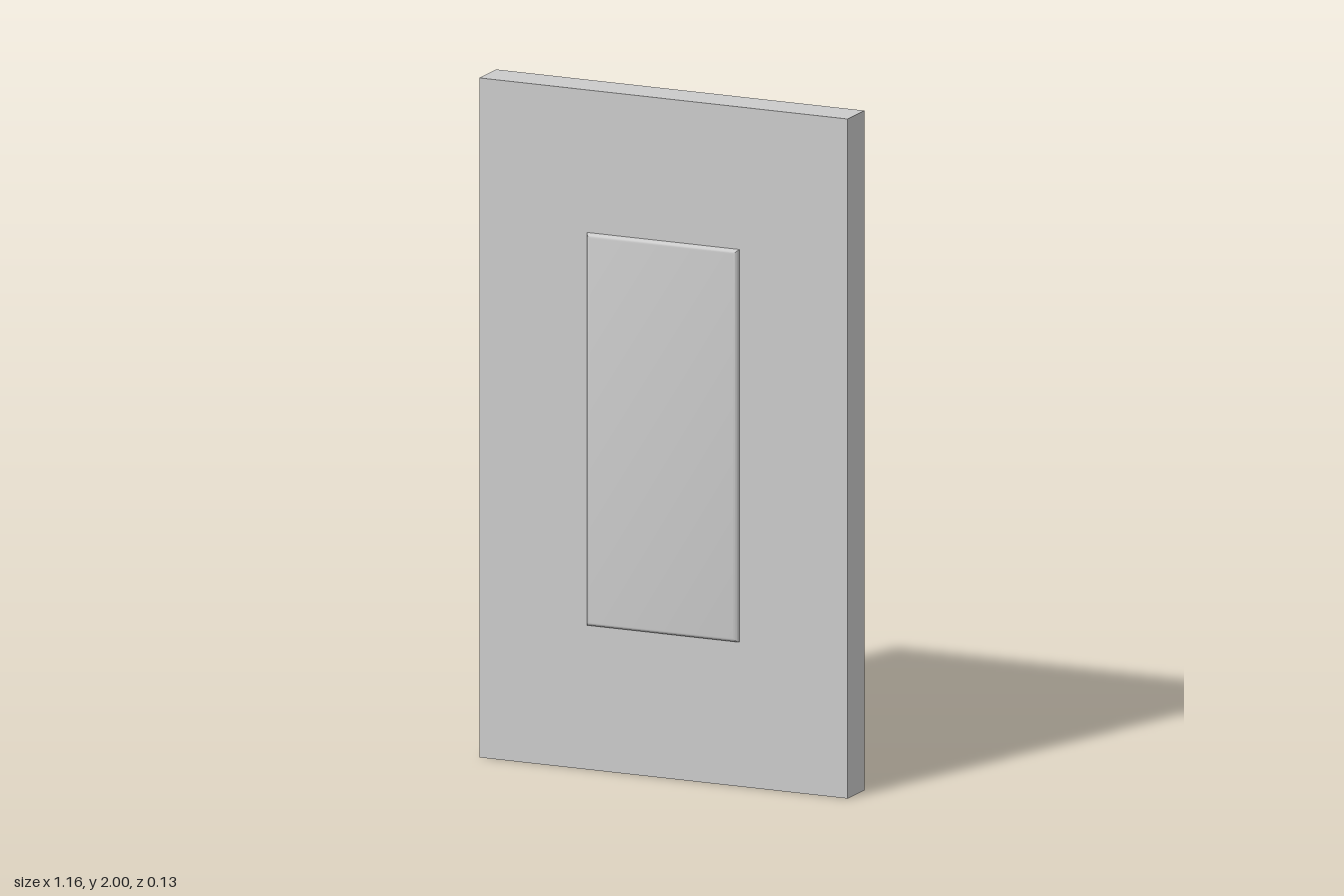
import * as THREE from 'three';
import { toCreasedNormals } from 'three/addons/utils/BufferGeometryUtils.js';

// Lofts rectangles from back to front; each section is [z, inset from the full outline].
function loftRect(width, height, sections, closeBack) {
  const corners = [[-1, -1], [1, -1], [1, 1], [-1, 1]];
  const positions = [];
  const index = [];
  for (const [z, inset] of sections) {
    for (const [sx, sy] of corners) {
      positions.push(sx * (width / 2 - inset), sy * (height / 2 - inset), z);
    }
  }
  for (let s = 0; s < sections.length - 1; s++) {
    for (let i = 0; i < 4; i++) {
      const a = s * 4 + i;
      const b = s * 4 + (i + 1) % 4;
      index.push(a, b, b + 4, a, b + 4, a + 4);
    }
  }
  // Front face, and optionally the back face
  const f = (sections.length - 1) * 4;
  index.push(f, f + 1, f + 2, f, f + 2, f + 3);
  if (closeBack) index.push(0, 2, 1, 0, 3, 2);
  const geometry = new THREE.BufferGeometry();
  geometry.setAttribute('position', new THREE.Float32BufferAttribute(positions, 3));
  geometry.setIndex(index);
  return toCreasedNormals(geometry, THREE.MathUtils.degToRad(35));
}

export function createModel() {
  const group = new THREE.Group();
  group.name = 'wallSwitch';

  // Thin cover plate, a shallow tray open at the back
  const plate = new THREE.Mesh(
    loftRect(1.165, 2, [[-0.066, 0.003], [-0.063, 0], [0.05, 0]], false),
    new THREE.MeshStandardMaterial({ color: 0xcccccc, side: THREE.DoubleSide })
  );
  plate.name = 'coverPlate';
  plate.position.y = 1;
  group.add(plate);

  // Switch paddle: solid block with a rounded front edge, set through the plate
  const radius = 0.013;
  const steps = 5;
  const sections = [[0.04, 0]];
  for (let i = 0; i <= steps; i++) {
    const t = (i / steps) * Math.PI / 2;
    sections.push([0.066 - radius + radius * Math.sin(t), radius * (1 - Math.cos(t))]);
  }
  const paddle = new THREE.Mesh(
    loftRect(0.48, 1.155, sections, true),
    new THREE.MeshStandardMaterial({ color: 0xcccccc })
  );
  paddle.name = 'switchPaddle';
  paddle.position.y = 1.003;
  group.add(paddle);

  return group;
}
